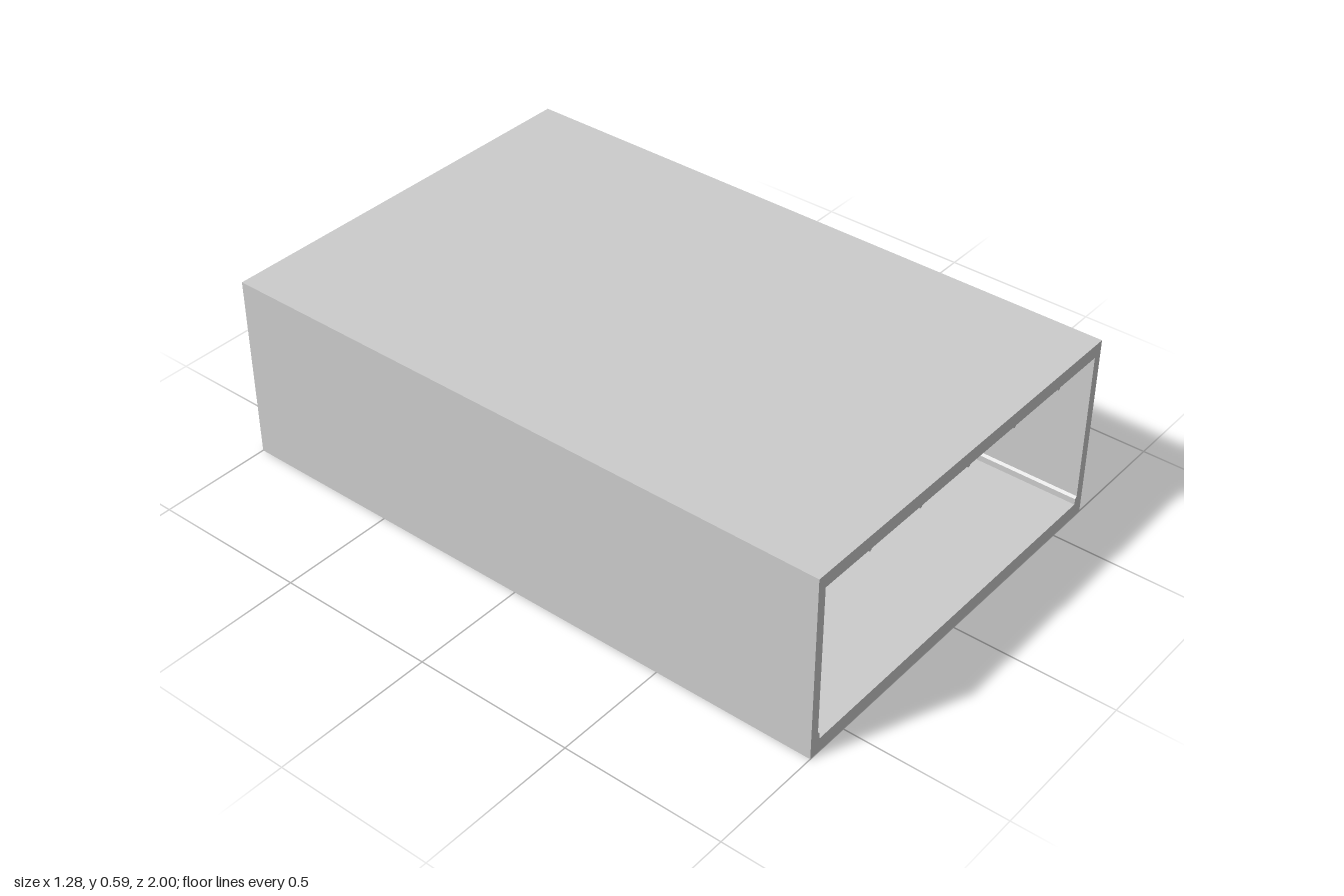
import * as THREE from 'three';

const material = new THREE.MeshStandardMaterial({ color: 0xcccccc, side: THREE.DoubleSide });
const W = 0.64, H = 0.59, FRONT = 1, BACK = -1, LINER_BACK = -0.99;

// Flat-sided sheet following an outline from z0 to z1; counterclockwise faces outward
function sweep(points, z0, z1) {
  const pos = [];
  for (let i = 0; i < points.length - 1; i++) {
    const [a, b] = [points[i], points[i + 1]];
    pos.push(a.x, a.y, z0, b.x, b.y, z0, b.x, b.y, z1);
    pos.push(a.x, a.y, z0, b.x, b.y, z1, a.x, a.y, z1);
  }
  const geometry = new THREE.BufferGeometry();
  geometry.setAttribute('position', new THREE.Float32BufferAttribute(pos, 3));
  geometry.computeVertexNormals();
  return geometry;
}

const toPoints = (pairs) => pairs.map(([x, y]) => new THREE.Vector2(x, y));

// Cavity outline, clockwise: stepped lower corners and small ribs on the ceiling
function cavityOutline() {
  const top = 0.547, wall = 0.612, floor = 0.045, rib = 0.006;
  const side = [[0.605, floor], [0.605, 0.064], [wall, 0.071], [wall, top]];
  const pairs = side.map(([x, y]) => [-x, y]);
  for (const x of [-0.43, -0.214, 0, 0.214, 0.43]) {
    for (let i = 0; i <= 4; i++) {
      const a = Math.PI * (1 - i / 4);
      pairs.push([x + rib * Math.cos(a), top - rib * Math.sin(a)]);
    }
  }
  pairs.push(...side.reverse());
  return toPoints(pairs);
}

export function createModel() {
  const group = new THREE.Group();
  const add = (name, geometry) => {
    const mesh = new THREE.Mesh(geometry, material);
    mesh.name = name;
    group.add(mesh);
    return mesh;
  };

  const outer = toPoints([[W, 0], [W, H], [-W, H], [-W, 0]]);
  const cavity = cavityOutline();

  // Outer sleeve, open underneath
  add('outerShell', sweep(outer, BACK, FRONT));

  // Closed back
  const back = add('backPanel', new THREE.PlaneGeometry(2 * W, H));
  back.rotation.y = Math.PI;
  back.position.set(0, H / 2, BACK);

  // Rim around the front opening
  const frame = new THREE.Shape(outer);
  frame.holes.push(new THREE.Path(cavity));
  add('frontFrame', new THREE.ShapeGeometry(frame)).position.z = FRONT;

  // Interior walls, ribbed ceiling and raised floor
  add('innerLiner', sweep([...cavity, cavity[0]], LINER_BACK, FRONT));
  add('innerBack', new THREE.ShapeGeometry(new THREE.Shape(cavity))).position.z = LINER_BACK;

  return group;
}
